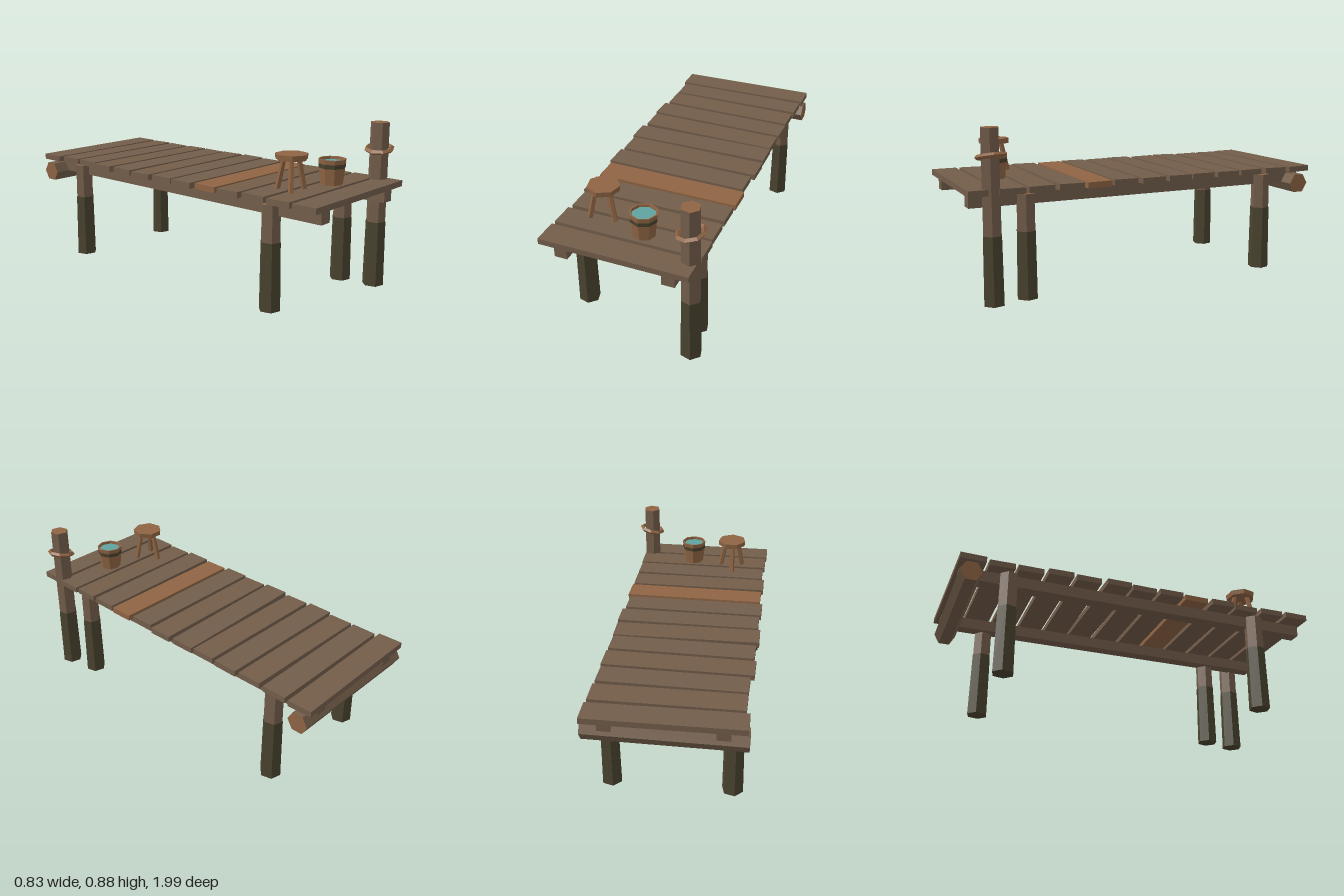
import * as THREE from 'three';

const mat = (name, color, side = THREE.FrontSide) => {
  const m = new THREE.MeshStandardMaterial({ color, side });
  m.name = name;
  return m;
};

// Faceted normals for the low-poly look
const flat = (geo) => {
  const g = geo.index ? geo.toNonIndexed() : geo;
  g.computeVertexNormals();
  return g;
};

export function createModel() {
  const root = new THREE.Group();
  root.name = 'woodenPier';

  const wood = mat('weatheredWood', 0x735d4a);
  const fresh = mat('freshWood', 0x8f6544);
  const wet = mat('wetWood', 0x4a432f);
  const water = mat('water', 0x5fa29f);

  const add = (parent, name, geo, material, x = 0, y = 0, z = 0) => {
    const m = new THREE.Mesh(flat(geo), material);
    m.name = name;
    m.position.set(x, y, z);
    parent.add(m);
    return m;
  };
  const group = (name) => {
    const g = new THREE.Group();
    g.name = name;
    root.add(g);
    return g;
  };

  // Deck planks: [left end, right end, yaw, roll]
  const deck = group('deck');
  const planks = [
    [-0.41, 0.38, 0.012, 0.01], [-0.39, 0.375, 0.004, -0.012], [-0.39, 0.37, -0.01, 0.008],
    [-0.41, 0.375, -0.01, -0.01], [-0.4, 0.37, -0.01, 0.012], [-0.415, 0.375, 0.014, -0.008],
    [-0.4, 0.38, 0, 0.01], [-0.41, 0.365, -0.005, 0], [-0.395, 0.38, -0.006, 0.012],
    [-0.405, 0.375, 0.004, -0.01], [-0.39, 0.375, -0.008, 0.008], [-0.4, 0.38, 0.002, -0.008],
    [-0.405, 0.375, 0.002, 0.004],
  ];
  planks.forEach(([x0, x1, yaw, roll], i) => {
    const p = add(deck, 'plank', new THREE.BoxGeometry(x1 - x0, 0.031, 0.134),
      i === 8 ? fresh : wood, (x0 + x1) / 2, 0.568, -0.926 + i * 0.1544);
    p.rotation.set(roll, yaw, 0);
  });

  // Long beams under the deck
  const frame = group('frame');
  for (const x of [-0.297, 0.265])
    add(frame, 'beam', new THREE.BoxGeometry(0.068, 0.06, 1.95), wood, x, 0.515, 0);

  // Log across the back, with pale cut ends
  add(frame, 'backLog', new THREE.CylinderGeometry(0.0577, 0.0577, 0.8, 6),
    [wood, fresh, fresh], -0.016, 0.485, -0.928).rotation.z = -Math.PI / 2;

  // Hexagonal posts: dry upper part above a thicker wet foot
  const post = (name, x, z, top, rTop) => {
    const g = group(name);
    const dry = add(g, 'dryPart', new THREE.CylinderGeometry(rTop, 0.051, top - 0.35, 6),
      [wood, fresh, wood], x, (top + 0.35) / 2, z);
    const foot = add(g, 'wetPart', new THREE.CylinderGeometry(0.053, 0.057, 0.352, 6),
      wet, x, 0.176, z);
    dry.rotation.y = foot.rotation.y = Math.PI / 12;
  };
  for (const x of [-0.331, 0.3])
    for (const z of [0.685, -0.722]) post('leg', x, z, 0.542, 0.05);
  post('mooringPost', 0.337, 0.87, 0.88, 0.0495);

  // Rope ring hanging tilted on the mooring post
  const ringGeo = new THREE.TorusGeometry(0.066, 0.013, 4, 8).rotateX(Math.PI / 2);
  add(root, 'ropeRing', ringGeo, fresh, 0.339, 0.741, 0.87).rotation.set(0.06, 0, 0.2);

  // Bucket: open octagonal shell, hoop and water
  const bucket = group('bucket');
  bucket.position.set(0.055, 0.584, 0.77);
  const shell = [[0, 0.002], [0.058, 0.002], [0.072, 0.132], [0.064, 0.132], [0.06, 0.09]]
    .map(([r, y]) => new THREE.Vector2(r, y));
  add(bucket, 'staves', new THREE.LatheGeometry(shell, 8), fresh);
  add(bucket, 'hoop', new THREE.CylinderGeometry(0.0712, 0.0688, 0.022, 8, 1, true), wet, 0, 0.098, 0);
  add(bucket, 'waterSurface', new THREE.CircleGeometry(0.063, 8).rotateX(-Math.PI / 2),
    water, 0, 0.117, 0);

  // Three-legged stool
  const stool = group('stool');
  stool.position.set(-0.192, 0.584, 0.698);
  add(stool, 'seat', new THREE.CylinderGeometry(0.084, 0.081, 0.028, 7), fresh, 0, 0.169, 0);
  for (let i = 0; i < 3; i++) {
    const a = -1.68 + (i * Math.PI * 2) / 3;
    const c = Math.cos(a), s = Math.sin(a);
    const top = new THREE.Vector3(c * 0.042, 0.158, s * 0.042);
    const foot = new THREE.Vector3(c * 0.076, 0.002, s * 0.076);
    const mid = top.clone().add(foot).multiplyScalar(0.5);
    const leg = add(stool, 'stoolLeg',
      new THREE.CylinderGeometry(0.014, 0.015, top.distanceTo(foot), 5), fresh, mid.x, mid.y, mid.z);
    leg.quaternion.setFromUnitVectors(new THREE.Vector3(0, 1, 0), top.sub(foot).normalize());
  }

  return root;
}
